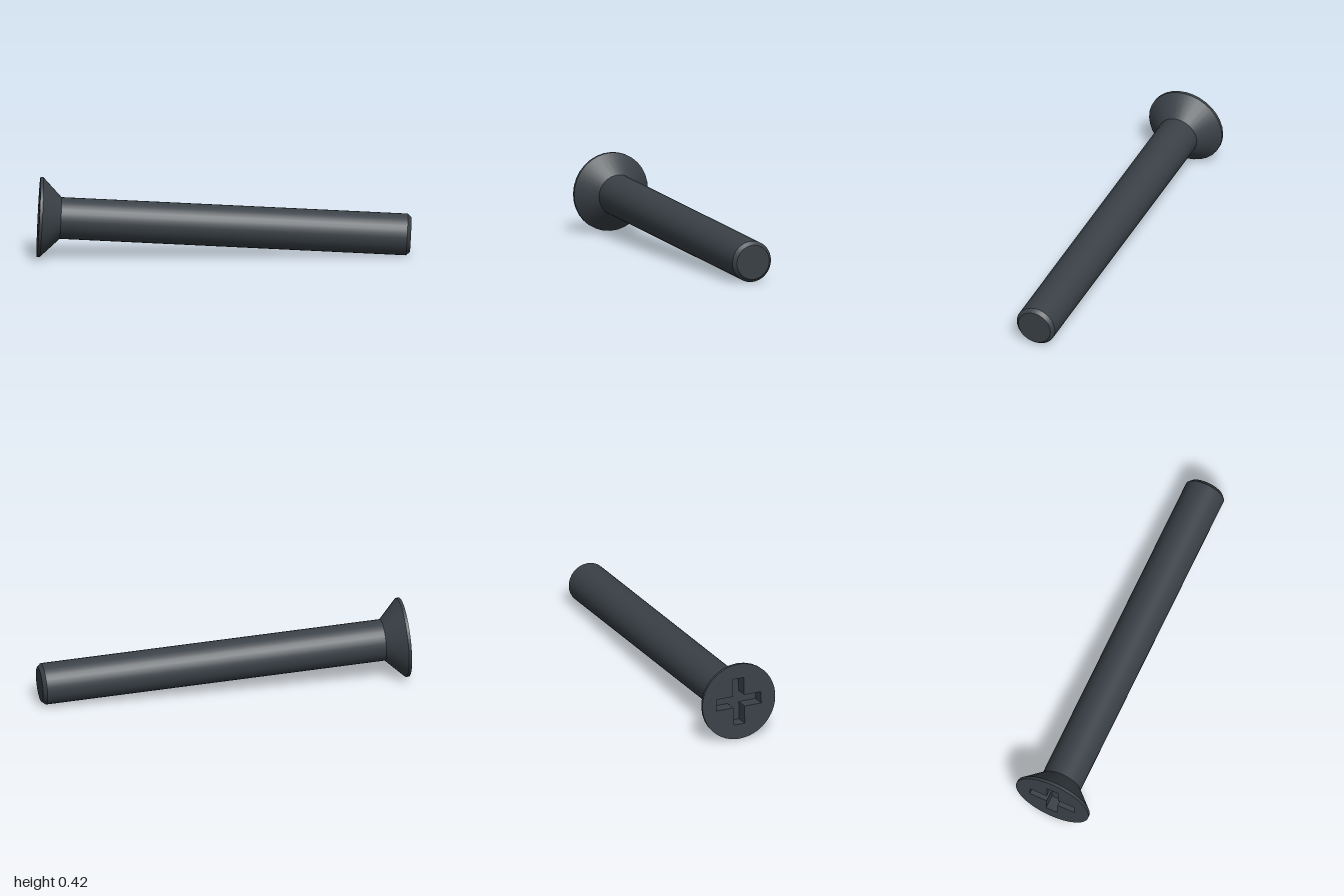
import * as THREE from 'three';

const LENGTH = 1.98, HEAD_R = 0.212, SHAFT_R = 0.111;
const HEAD = new THREE.Vector3(-0.954, 0.214, -0.155); // centre of the head face
const TIP = new THREE.Vector3(0.98, 0.113, 0.2575); // centre of the tip face

export function createModel() {
  const steel = new THREE.MeshStandardMaterial({ color: 0x3a4147 });
  steel.name = 'dark steel';
  const screw = new THREE.Group();
  screw.name = 'screw';
  const add = (name, geometry) => {
    const mesh = new THREE.Mesh(geometry, steel);
    mesh.name = name;
    screw.add(mesh);
  };

  // Turned sections along local z: head face at 0, tip at -LENGTH
  const band = (name, r0, z0, r1, z1) => {
    const profile = [new THREE.Vector2(r0, z0), new THREE.Vector2(r1, z1)];
    add(name, new THREE.LatheGeometry(profile, 32).rotateX(Math.PI / 2));
  };
  const neck = -0.117, rim = -0.016, chamfer = 0.02, tipR = 0.093;
  band('tipChamfer', tipR, -LENGTH, SHAFT_R, -LENGTH + chamfer);
  band('shaft', SHAFT_R, -LENGTH + chamfer, SHAFT_R, neck);
  band('countersunkHead', SHAFT_R, neck, HEAD_R, rim);
  band('headRim', HEAD_R, rim, HEAD_R, 0);
  add('tipFace', new THREE.CircleGeometry(tipR, 32).rotateX(Math.PI).translate(0, 0, -LENGTH));

  // Cross-shaped drive recess, outlined counter-clockwise
  const arm = 0.13, half = 0.032, depth = 0.075;
  const cross = [];
  for (let i = 0; i < 4; i++) {
    for (const [x, y] of [[arm, -half], [arm, half], [half, half]]) {
      cross.push(new THREE.Vector2(x, y).rotateAround(new THREE.Vector2(), i * Math.PI / 2));
    }
  }
  const face = new THREE.Shape().absarc(0, 0, HEAD_R, 0, Math.PI * 2);
  face.holes.push(new THREE.Path(cross.slice().reverse()));
  add('headFace', new THREE.ShapeGeometry(face, 32));
  add('recessFloor', new THREE.ShapeGeometry(new THREE.Shape(cross)).translate(0, 0, -depth));

  // Recess walls, facing inward
  const walls = [];
  cross.forEach((a, i) => {
    const b = cross[(i + 1) % cross.length];
    walls.push(a.x, a.y, 0, b.x, b.y, 0, b.x, b.y, -depth);
    walls.push(a.x, a.y, 0, b.x, b.y, -depth, a.x, a.y, -depth);
  });
  const wallGeometry = new THREE.BufferGeometry();
  wallGeometry.setAttribute('position', new THREE.Float32BufferAttribute(walls, 3));
  wallGeometry.computeVertexNormals();
  add('recessWalls', wallGeometry);

  // Lay the screw down, resting on its head rim and tip
  const z = HEAD.clone().sub(TIP).normalize();
  const x = new THREE.Vector3(0, 1, 0).cross(z).normalize();
  const y = z.clone().cross(x);
  screw.quaternion.setFromRotationMatrix(new THREE.Matrix4().makeBasis(x, y, z));
  screw.position.copy(HEAD);

  const model = new THREE.Group();
  model.name = 'countersunkScrew';
  model.add(screw);
  return model;
}
